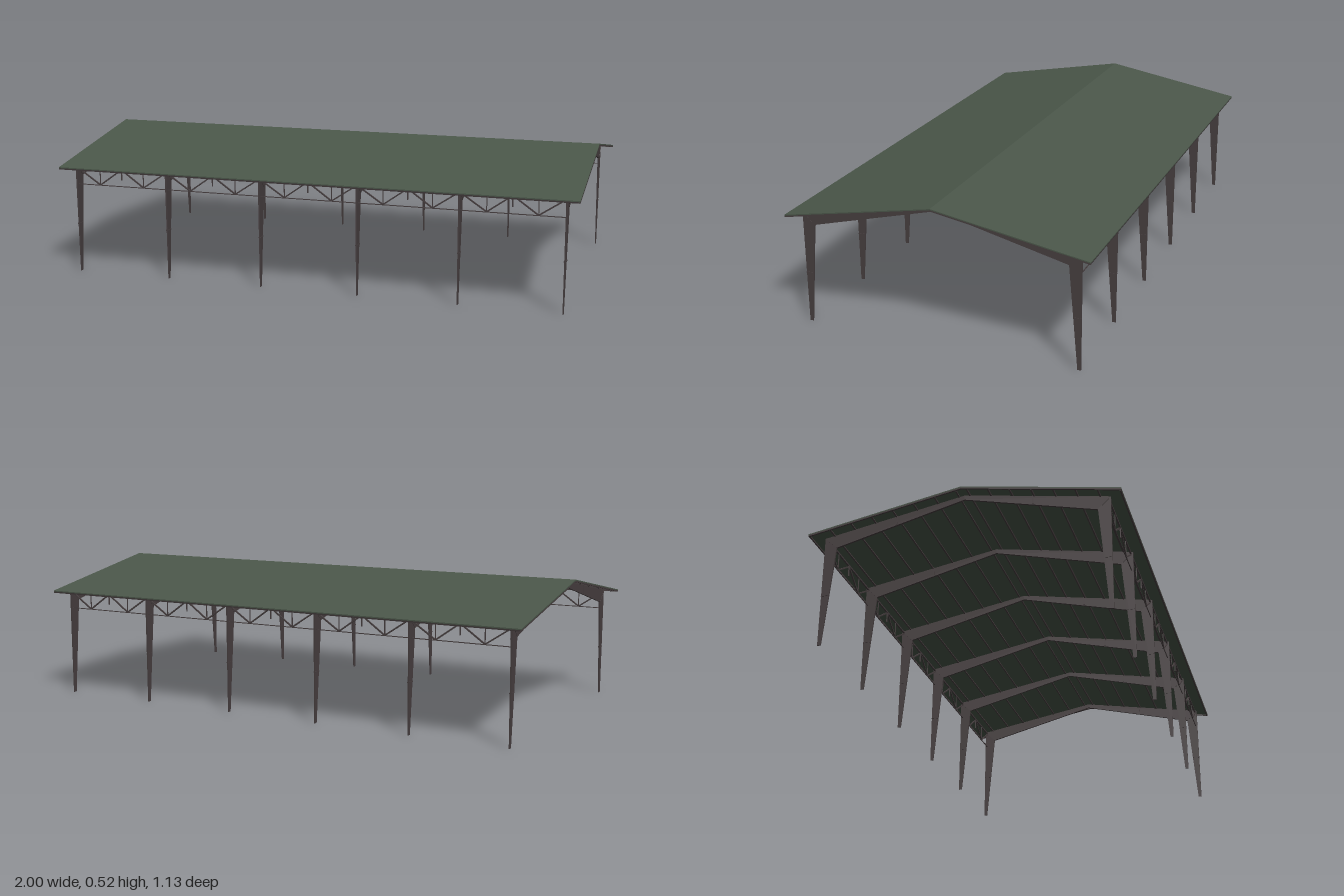
import * as THREE from 'three';

const steel = new THREE.MeshStandardMaterial({ color: 0x473f40 });
steel.name = 'brown steel';
const green = new THREE.MeshStandardMaterial({ color: 0x4b574a });
green.name = 'green roofing';

const SLOPE = 0.102 / 0.565;
const roofY = (z) => 0.525 - Math.abs(z) * SLOPE;

// Extrudes a [z, y] outline along x, centred on x = 0
function crossSection(points, width) {
  const shape = new THREE.Shape(points.map(([z, y]) => new THREE.Vector2(z, y)));
  const g = new THREE.ExtrudeGeometry(shape, { depth: width, bevelEnabled: false });
  g.translate(0, 0, -width / 2);
  g.rotateY(-Math.PI / 2);
  return g;
}

function add(parent, name, geometry, material, x = 0, y = 0, z = 0) {
  const m = new THREE.Mesh(geometry, material);
  m.name = name;
  m.position.set(x, y, z);
  parent.add(m);
  return m;
}

// Square bar between two points of a plane with constant z
function bar(parent, name, x1, y1, x2, y2, z, t) {
  const g = new THREE.BoxGeometry(Math.hypot(x2 - x1, y2 - y1), t, t);
  const m = add(parent, name, g, steel, (x1 + x2) / 2, (y1 + y2) / 2, z);
  m.rotation.z = Math.atan2(y2 - y1, x2 - x1);
}

// Portal frame: tapered columns and pitched rafters in one outline
function frameGeometry() {
  const half = [[0.52, 0], [0.52, 0.424]];
  const inner = [[0.475, 0.38], [0.507, 0]];
  const flip = (list) => list.map(([z, y]) => [-z, y]).reverse();
  const g = crossSection([
    ...half, [0, 0.517], ...flip(half), ...flip(inner), [0, 0.5], ...inner,
  ], 0.007);
  // Columns get thinner towards the ground
  const p = g.attributes.position;
  for (let i = 0; i < p.count; i++) {
    p.setX(i, p.getX(i) * (p.getY(i) < 0.1 ? 0.5 : 1));
  }
  g.computeVertexNormals();
  return g;
}

export function createModel() {
  const model = new THREE.Group();
  model.name = 'openShed';

  for (const s of [1, -1]) {
    // Green sheet, and steel verge strips under its two ends
    const slab = (top, bottom, width) => crossSection([
      [0, 0.525 - top], [s * 0.565, 0.423 - top],
      [s * 0.565, 0.423 - bottom], [0, 0.525 - bottom],
    ], width);
    add(model, 'roofSheet', slab(0, 0.004, 2), green);
    for (const x of [-0.997, 0.997]) {
      add(model, 'vergeStrip', slab(0.004, 0.009, 0.006), steel, x);
    }

    // Purlins under the sheet, the last one closing the eave
    for (let i = 0; i < 8; i++) {
      const z = s * (0.02 + i * 0.0774);
      const purlin = add(model, 'purlin', new THREE.BoxGeometry(1.99, 0.006, 0.005),
        steel, 0, roofY(z) - 0.0065, z);
      purlin.rotation.x = s * Math.atan(SLOPE);
    }
  }

  // Six frames with splice plates
  const frame = frameGeometry();
  for (let i = 0; i < 6; i++) {
    const g = new THREE.Group();
    g.name = 'portalFrame';
    g.position.x = -0.95 + i * 0.38;
    add(g, 'frameBody', frame, steel);
    for (const s of [1, -1]) {
      add(g, 'rafterSplice', new THREE.BoxGeometry(0.011, 0.034, 0.004), steel, 0, 0.457, s * 0.248);
      add(g, 'columnSplice', new THREE.BoxGeometry(0.009, 0.004, 0.028), steel, 0, 0.192, s * 0.506);
      const haunch = add(g, 'haunchSeam', new THREE.BoxGeometry(0.009, 0.058, 0.002),
        steel, 0, 0.401, s * 0.497);
      haunch.rotation.x = s * 0.79;
    }
    model.add(g);
  }

  // Eave trusses between the frames on both long sides
  for (const z of [0.512, -0.512]) {
    const truss = new THREE.Group();
    truss.name = 'eaveTruss';
    bar(truss, 'topChord', -0.95, 0.418, 0.95, 0.418, z, 0.006);
    bar(truss, 'bottomChord', -0.95, 0.35, 0.95, 0.35, z, 0.003);
    for (let b = 0; b < 5; b++) {
      const x = -0.95 + b * 0.38;
      const nodes = [[0, 0.416], [0.098, 0.351], [0.19, 0.416], [0.282, 0.351], [0.38, 0.416]];
      for (let k = 0; k < 4; k++) {
        bar(truss, 'diagonal', x + nodes[k][0], nodes[k][1],
          x + nodes[k + 1][0], nodes[k + 1][1], z, 0.005);
      }
      for (const dx of [0.098, 0.282]) bar(truss, 'post', x + dx, 0.351, x + dx, 0.416, z, 0.003);
      bar(truss, 'centrePost', x + 0.19, 0.375, x + 0.19, 0.416, z, 0.004);
    }
    model.add(truss);
  }

  return model;
}
